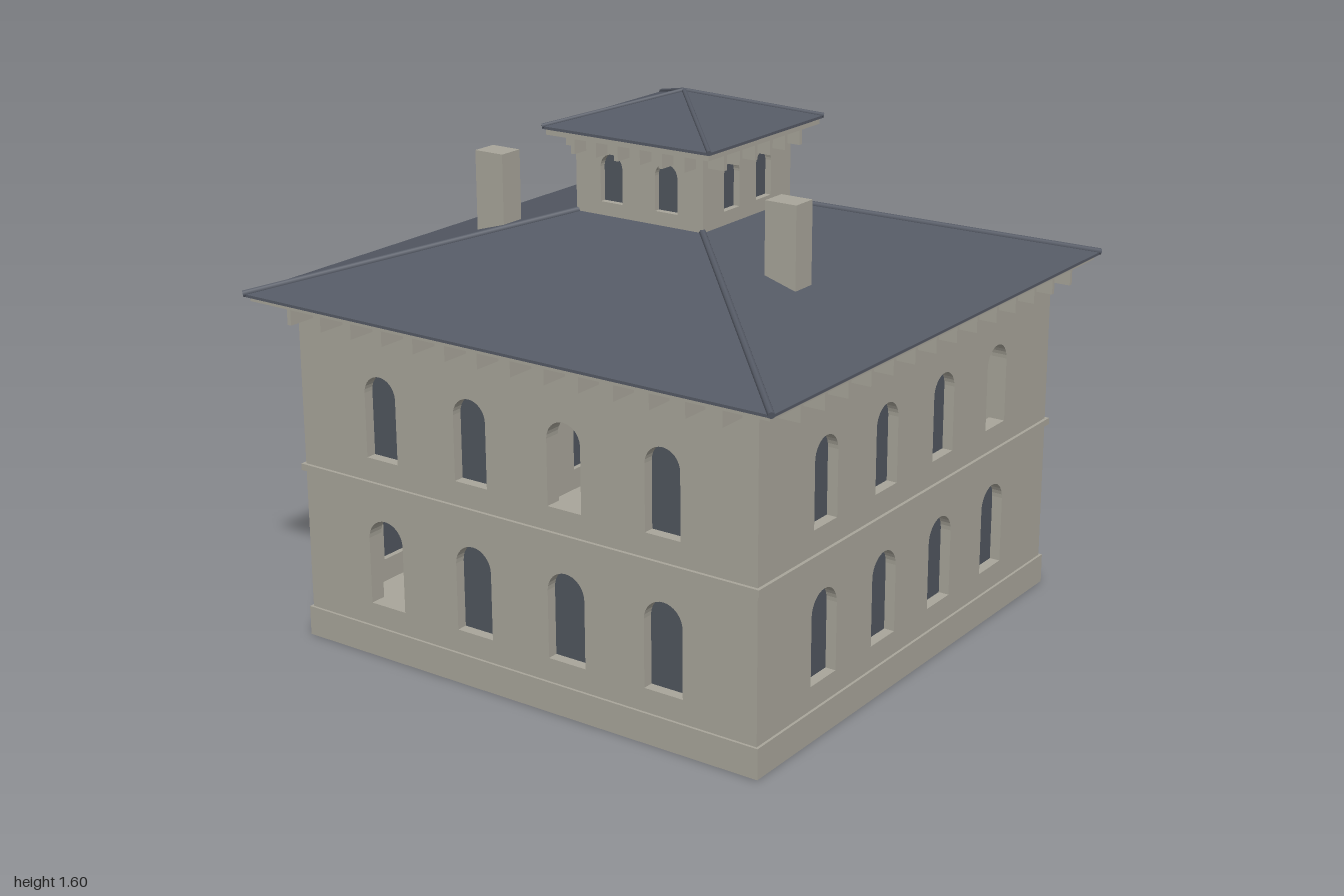
import * as THREE from 'three';

const CZ = 0.09;    // depth centre of the house
const HALF = 0.787; // half width of the house walls

const stone = new THREE.MeshStandardMaterial({ color: 0xa8a59a });
stone.name = 'stone';
const slate = new THREE.MeshStandardMaterial({ color: 0x555a65 });
slate.name = 'slate';
const glass = new THREE.MeshStandardMaterial({ color: 0x50565e, side: THREE.DoubleSide });
glass.name = 'glass';

function add(parent, name, geometry, material) {
  const mesh = new THREE.Mesh(geometry, material);
  mesh.name = name;
  parent.add(mesh);
  return mesh;
}

// Box given by its lower and upper heights
function box(parent, name, w, y0, y1, d, x, z, material = stone) {
  const mesh = add(parent, name, new THREE.BoxGeometry(w, y1 - y0, d), material);
  mesh.position.set(x, (y0 + y1) / 2, z);
  return mesh;
}

// Round-headed outline for windows and the door
function arch(path, { x, w, y0, y1 }) {
  path.moveTo(x - w / 2, y0);
  path.lineTo(x + w / 2, y0);
  path.lineTo(x + w / 2, y1 - w / 2);
  path.absarc(x, y1 - w / 2, w / 2, 0, Math.PI, false);
  path.closePath();
  return path;
}

// One wall facing +z with arched openings and recessed panes
function wall(parent, half, dist, y0, y1, thick, openings) {
  const shape = new THREE.Shape();
  shape.moveTo(-half, y0);
  shape.lineTo(half, y0);
  shape.lineTo(half, y1);
  shape.lineTo(-half, y1);
  shape.closePath();
  openings.forEach((o) => shape.holes.push(arch(new THREE.Path(), o)));
  const geo = new THREE.ExtrudeGeometry(shape, { depth: thick, bevelEnabled: false, curveSegments: 8 });
  add(parent, 'wall', geo, stone).position.z = dist - thick;
  openings.filter((o) => !o.open).forEach((o) => {
    const pane = new THREE.ShapeGeometry(arch(new THREE.Shape(), o), 8);
    add(parent, 'windowPane', pane, glass).position.z = dist - thick * 0.65;
  });
}

// Thin blades under the eaves of one side
function brackets(parent, count, span, y0, y1, from, reach) {
  for (let i = 0; i < count; i++) {
    const x = -span + (2 * span * i) / (count - 1);
    box(parent, 'eaveBracket', 0.013, y0, y1, reach, x, from + reach / 2);
  }
}

// Hipped roof with a thin eave edge and rolls on the hips
function hipRoof(parent, name, half, y0, topHalf, y1, roll) {
  const edge = 0.008;
  box(parent, name + 'Edge', half * 2, y0, y0 + edge, half * 2, 0, 0, slate);
  const geo = new THREE.CylinderGeometry(topHalf * Math.SQRT2, half * Math.SQRT2, y1 - y0 - edge, 4, 1)
    .toNonIndexed();
  geo.rotateY(Math.PI / 4);
  geo.computeVertexNormals();
  add(parent, name, geo, slate).position.y = (y0 + edge + y1) / 2;
  for (const sx of [-1, 1]) for (const sz of [-1, 1]) {
    const a = new THREE.Vector3(sx * half, y0 + edge, sz * half);
    const b = new THREE.Vector3(sx * topHalf, y1, sz * topHalf);
    const hip = add(parent, 'hipRoll', new THREE.CylinderGeometry(roll, roll, a.distanceTo(b), 8), slate);
    hip.position.copy(a).lerp(b, 0.5);
    hip.quaternion.setFromUnitVectors(new THREE.Vector3(0, 1, 0), b.sub(a).normalize());
  }
}

// Two storeys of openings; the open lists hold unglazed ones
function storeys(lowerX, upperX, openLower = [], openUpper = []) {
  return [
    ...lowerX.map((x, i) => ({ x, w: 0.126, y0: 0.16, y1: 0.425, open: openLower.includes(i) })),
    ...upperX.map((x, i) => ({ x, w: 0.114, y0: 0.61, y1: 0.86, open: openUpper.includes(i) })),
  ];
}

export function createModel() {
  const model = new THREE.Group();
  model.name = 'house';
  const house = new THREE.Group();
  house.name = 'mainHouse';
  house.position.z = CZ;
  model.add(house);

  // Plinth and string course
  box(house, 'plinth', 1.59, 0, 0.09, 1.59, 0, 0);

  // Four sides: front, left, back, right
  const frontX = [-0.488, -0.163, 0.163, 0.488];
  const sideX = [-0.465, -0.155, 0.155, 0.465];
  const backX = [-0.435, 0, 0.435];
  const back = storeys(backX, backX);
  back[1] = { x: 0, w: 0.14, y0: 0.1, y1: 0.425 };
  const sides = [
    storeys(frontX, frontX, [0], [2]),
    storeys(sideX, sideX, [], [3]),
    back,
    storeys(sideX, sideX, [1], [2]),
  ];
  const names = ['frontSide', 'leftSide', 'backSide', 'rightSide'];
  sides.forEach((openings, i) => {
    const side = new THREE.Group();
    side.name = names[i];
    side.rotation.y = (i * Math.PI) / 2;
    house.add(side);
    const thick = 0.05;
    wall(side, i % 2 ? HALF - thick : HALF, HALF, 0.09, 1.045, thick, openings);
    box(side, 'stringCourse', 1.594, 0.52, 0.54, 0.012, 0, HALF + 0.004);
    box(side, 'frieze', 1.58, 0.99, 1.04, 0.006, 0, HALF);
    brackets(side, 14, 0.733, 0.992, 1.042, HALF, 0.092);

    // Cupola side
    const cx = i % 2 ? 0.08 : 0.095;
    const cupolaWindows = [-cx, cx].map((x) => ({ x, w: 0.077, y0: 1.3, y1: 1.44 }));
    wall(side, i % 2 ? 0.19 : 0.22, 0.22, 1.22, 1.49, 0.03, cupolaWindows);
    brackets(side, 6, 0.19, 1.44, 1.487, 0.22, 0.054);
  });

  // Main roof and cupola roof with their soffits
  box(house, 'mainSoffit', 1.76, 1.038, 1.052, 1.76, 0, 0);
  hipRoof(house, 'mainRoof', 0.894, 1.052, 0.215, 1.262, 0.01);
  box(house, 'cupolaSoffit', 0.56, 1.485, 1.502, 0.56, 0, 0);
  hipRoof(house, 'cupolaRoof', 0.288, 1.502, 0.001, 1.598, 0.007);

  // Chimneys
  for (const s of [-1, 1]) box(model, 'chimney', 0.1, 1.1, 1.4, 0.08, s * 0.505, 0.316);

  // Back porch: deck, roof and slender columns
  const porch = new THREE.Group();
  porch.name = 'backPorch';
  model.add(porch);
  box(porch, 'porchDeck', 1.18, 0, 0.09, 0.285, 0, -0.8425);
  box(porch, 'porchRoof', 1.2, 0.468, 0.51, 0.305, 0, -0.8475);
  const profile = [
    [0.015, 0.09], [0.015, 0.1], [0.009, 0.125], [0.008, 0.25], [0.01, 0.4], [0.015, 0.45], [0.015, 0.47],
  ].map(([r, y]) => new THREE.Vector2(r, y));
  for (const x of [-0.55, -0.15, 0.15, 0.55]) {
    add(porch, 'porchColumn', new THREE.LatheGeometry(profile, 10), stone).position.set(x, 0, -0.955);
  }
  return model;
}
